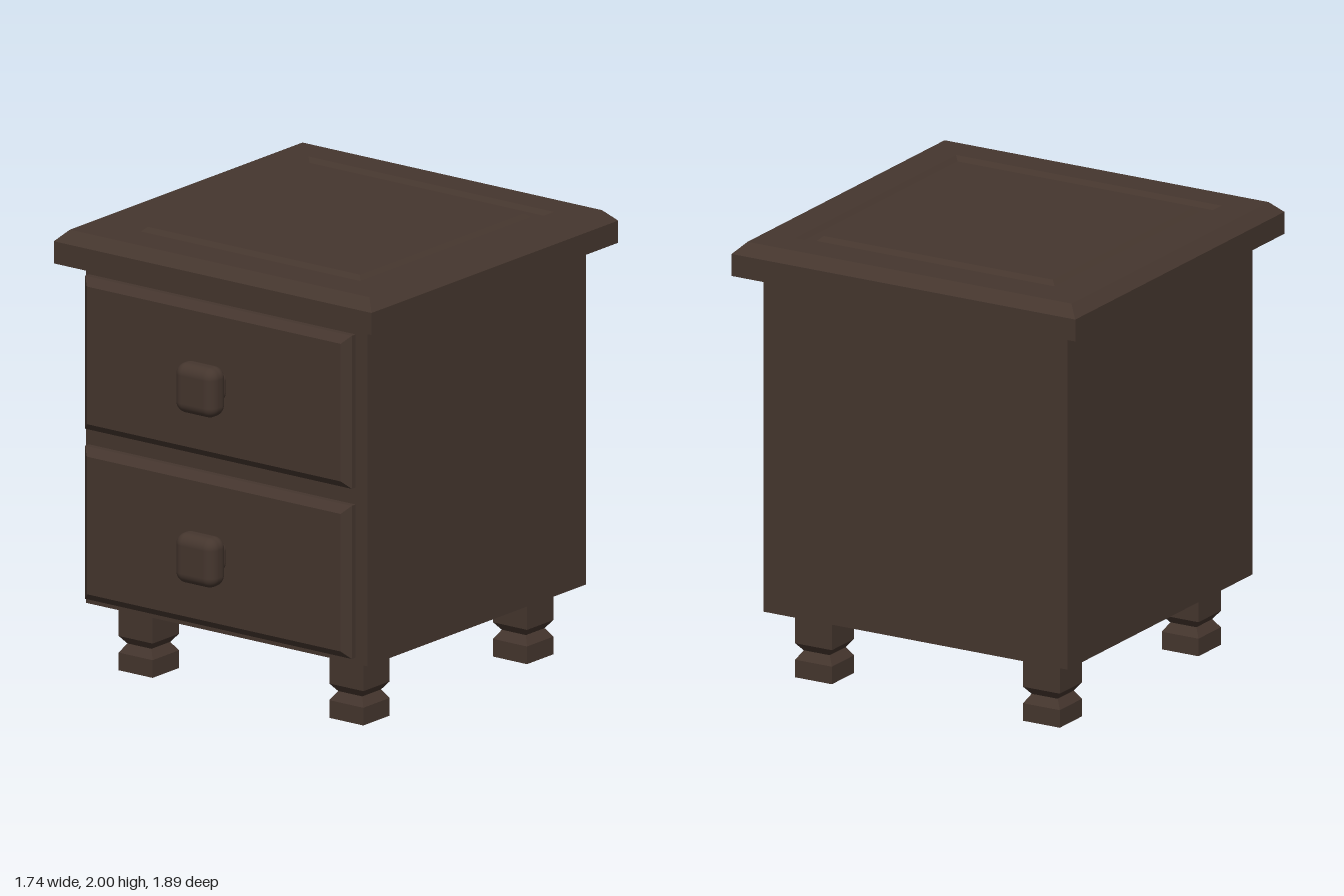
import * as THREE from 'three';
import { RoundedBoxGeometry } from 'three/addons/geometries/RoundedBoxGeometry.js';

const darkWood = new THREE.MeshStandardMaterial({ color: 0x45362e });

// Rectangular solid lofted along y through [halfX, halfZ, y] sections, capped at both ends
function loft(sections) {
  const corners = [[1, 1], [1, -1], [-1, -1], [-1, 1]];
  const rings = sections.map(([hx, hz, y]) => corners.map(([sx, sz]) => [sx * hx, y, sz * hz]));
  const pos = [];
  const quad = (a, b, c, d) => pos.push(...a, ...b, ...c, ...a, ...c, ...d);
  for (let i = 0; i < rings.length - 1; i++) {
    for (let j = 0; j < 4; j++) {
      const k = (j + 1) % 4;
      quad(rings[i][j], rings[i][k], rings[i + 1][k], rings[i + 1][j]);
    }
  }
  quad(...rings[0].slice().reverse());
  quad(...rings[rings.length - 1]);
  const geo = new THREE.BufferGeometry();
  geo.setAttribute('position', new THREE.Float32BufferAttribute(pos, 3));
  geo.computeVertexNormals();
  return geo;
}

function part(name, geometry, x, y, z) {
  const mesh = new THREE.Mesh(geometry, darkWood);
  mesh.name = name;
  mesh.position.set(x, y, z);
  return mesh;
}

// Drawer front with bevelled edge, recessed spacer behind it, and a soft square knob
function makeDrawer(name, y) {
  const drawer = new THREE.Group();
  drawer.name = name;
  const front = loft([
    [0.66, 0.275, 0.69], [0.66, 0.275, 0.73], [0.73, 0.346, 0.73],
    [0.73, 0.346, 0.757], [0.695, 0.311, 0.79],
  ]).rotateX(Math.PI / 2);
  drawer.add(
    part('drawerFront', front, 0, 0, 0),
    part('knobStem', new RoundedBoxGeometry(0.135, 0.135, 0.12, 4, 0.04), 0, 0, 0.82),
    part('knob', new RoundedBoxGeometry(0.22, 0.225, 0.118, 6, 0.05), 0, 0, 0.886),
  );
  drawer.position.y = y;
  return drawer;
}

export function createModel() {
  const model = new THREE.Group();
  model.name = 'nightstand';
  const cz = -0.072;

  // Cabinet body
  model.add(part('body', new THREE.BoxGeometry(1.54, 1.54, 1.54), 0, 1.08, cz));

  // Table top: bevelled rim, then a shallow groove around the centre panel
  const topProfile = [
    [0.87, 1.85], [0.87, 1.95], [0.82, 2], [0.672, 2],
    [0.652, 1.98], [0.602, 1.98], [0.58, 2],
  ];
  model.add(part('tableTop', loft(topProfile.map(([h, y]) => [h, h, y])), 0, 0, cz));

  // Drawers
  model.add(makeDrawer('upperDrawer', 1.465), makeDrawer('lowerDrawer', 0.696));

  // Four square legs with a notched waist
  const legProfile = [[0.093, 0], [0.093, 0.08], [0.066, 0.12], [0.093, 0.155], [0.093, 0.32]];
  const legGeometry = loft(legProfile.map(([h, y]) => [h, h, y]));
  for (const sx of [-1, 1]) {
    for (const sz of [-1, 1]) {
      const name = (sz > 0 ? 'front' : 'back') + (sx > 0 ? 'Left' : 'Right') + 'Leg';
      model.add(part(name, legGeometry, sx * 0.577, 0, cz + sz * 0.577));
    }
  }
  return model;
}
